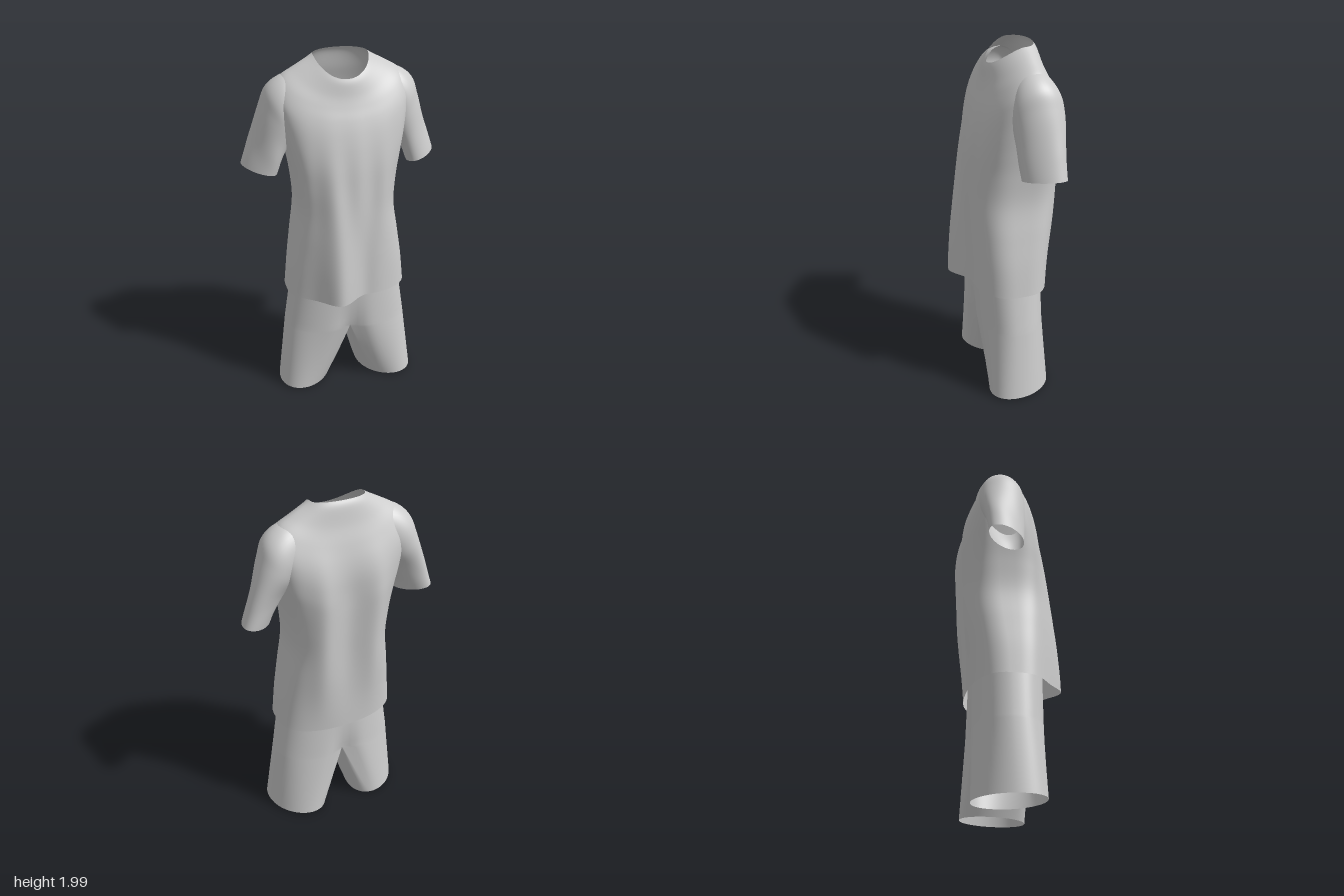
import * as THREE from 'three';
import { mergeGeometries, mergeVertices } from 'three/addons/utils/BufferGeometryUtils.js';

const fabric = new THREE.MeshStandardMaterial({ color: 0xcccccc, side: THREE.DoubleSide });
fabric.name = 'light grey fabric';

const bump = (v, centre, width) => Math.exp(-(((v - centre) / width) ** 2));
const step = THREE.MathUtils.smoothstep;
const lerp = THREE.MathUtils.lerp;
const power = (v, e) => Math.sign(v) * Math.abs(v) ** e;

// Smoothly reads a table of section rows at t = 0..1
function sample(rows, t) {
  const f = t * (rows.length - 1);
  const i = Math.min(Math.floor(f), rows.length - 2);
  const u = f - i;
  const row = (k) => rows[THREE.MathUtils.clamp(k, 0, rows.length - 1)];
  return rows[i].map((b, c) => {
    const a = row(i - 1)[c], d = row(i + 1)[c], e = row(i + 2)[c];
    return b + 0.5 * u * (d - a + u * (2 * a - 5 * b + 4 * d - e + u * (3 * (b - d) + e - a)));
  });
}

// Open tube of closed loops; point(t, angle) gives [x, y, z], running from top to bottom
function loft(point, loops, sides, mirror = 1) {
  const pos = [], index = [];
  for (let i = 0; i <= loops; i++) {
    for (let j = 0; j < sides; j++) {
      const [x, y, z] = point(i / loops, (j / sides) * Math.PI * 2);
      pos.push(x * mirror, y, z);
      if (i === loops) continue;
      const a = i * sides + j, b = i * sides + ((j + 1) % sides);
      const c = a + sides, d = b + sides;
      if (mirror > 0) index.push(a, b, c, b, d, c);
      else index.push(a, c, b, b, c, d);
    }
  }
  const g = new THREE.BufferGeometry();
  g.setAttribute('position', new THREE.Float32BufferAttribute(pos, 3));
  g.setIndex(index);
  return g;
}

function cloth(name, geometries) {
  const g = mergeVertices(mergeGeometries(geometries), 1e-4);
  g.computeVertexNormals();
  const mesh = new THREE.Mesh(g, fabric);
  mesh.name = name;
  return mesh;
}

// Shirt body rows: half width, front z, back z, side z, then y at side, front, back
const bodyRows = [
  [0.147, 0.073, -0.165, -0.085, 1.987, 1.89, 1.994],
  [0.175, 0.085, -0.182, -0.085, 1.97, 1.862, 1.96],
  [0.25, 0.1, -0.202, -0.085, 1.93, 1.8, 1.87],
  [0.322, 0.119, -0.23, -0.085, 1.885, 1.745, 1.78],
  [0.358, 0.143, -0.255, -0.09, 1.82, 1.685, 1.69],
  [0.355, 0.165, -0.268, -0.085, 1.74, 1.615, 1.61],
  [0.335, 0.185, -0.272, -0.07, 1.61, 1.53, 1.52],
  [0.31, 0.2, -0.272, -0.05, 1.48, 1.43, 1.43],
  [0.287, 0.208, -0.268, -0.04, 1.34, 1.31, 1.31],
  [0.276, 0.212, -0.262, -0.03, 1.17, 1.17, 1.17],
  [0.302, 0.213, -0.252, -0.02, 0.99, 0.99, 0.99],
  [0.328, 0.213, -0.24, -0.01, 0.82, 0.82, 0.82],
  [0.347, 0.213, -0.228, -0.01, 0.65, 0.655, 0.635],
];

function bodyPoint(t, angle) {
  const [w, zf, zb, zs, ys, yf, yb] = sample(bodyRows, t);
  const c = Math.cos(angle), s = -Math.sin(angle);
  const x = w * power(c, 0.95);
  const front = s > 0;
  // Round at the collar, squarer over the back and waist, rounder again at the hem
  const square = step(t, 0.1, 0.55);
  const hem = step(t, 0.75, 1);
  const reach = Math.abs(s) ** (front ? 0.9 - 0.28 * square + 0.1 * hem : 0.85 - 0.35 * square + 0.15 * hem);
  const y = ys + ((front ? yf : yb) - ys) * Math.abs(s) ** 1.4;
  let z = zs + ((front ? zf : zb) - zs) * reach;
  // Hanging folds
  if (front) {
    const low = 1 - step(y, 0.65, 1.6);
    z += reach * low * (0.084 * bump(x, -0.09, 0.1) - 0.014 * bump(x, 0.07, 0.06));
    z += reach * 0.006 * Math.sin(x * 42) * bump(y, 1.3, 0.25);
  } else {
    const fall = step(y, 0.6, 1.2) * (1 - step(y, 1.45, 1.85));
    z -= reach * fall * (0.028 * bump(Math.abs(x), 0.16, 0.07) - 0.024 * bump(x, 0, 0.08));
  }
  return [x, y, z];
}

// Sleeve rows: centre x, y, z, radius across, radius in depth, tilt in radians, backward twist
const sleeveRows = [
  [0.22, 1.77, -0.085, 0.142, 0.1, 1.45, 0],
  [0.283, 1.755, -0.085, 0.138, 0.12, 1.25, 0],
  [0.325, 1.715, -0.085, 0.135, 0.13, 1.0, 0.01],
  [0.352, 1.65, -0.085, 0.12, 0.127, 0.8, 0.025],
  [0.392, 1.555, -0.082, 0.1, 0.11, 0.55, 0.04],
  [0.428, 1.465, -0.08, 0.092, 0.098, 0.36, 0.048],
  [0.458, 1.383, -0.08, 0.092, 0.09, 0.19, 0.05],
];

function sleevePoint(t, angle) {
  const [x, y, z, r, d, tilt, twist] = sample(sleeveRows, t);
  const c = Math.cos(angle), s = -Math.sin(angle);
  const crease = 1 + 0.025 * Math.sin(angle * 3 + t * 9) * step(t, 0.4, 0.7) * (1 - step(t, 0.75, 1));
  const across = r * c * crease;
  return [x + across * Math.cos(tilt), y + across * Math.sin(tilt), z + d * s * crease - twist * c];
}

// Shorts hip section, widening from the hidden waist to the fork, with a soft centre crease
const waistY = 0.95, forkY = 0.42;
function hipPoint(t, angle) {
  const c = Math.cos(angle), s = -Math.sin(angle);
  const x = (0.28 + 0.08 * t) * power(c, 0.85);
  const depth = s > 0 ? 0.19 - 0.005 * t : 0.2 + 0.012 * t;
  const crease = 0.04 * t ** 3 * bump(x, 0, 0.07);
  return [x, lerp(waistY, forkY, t), (depth - crease) * power(s, 0.85)];
}

// Leg: two thirds of the loop follow the half hip, the rest the crotch seam, easing into a round cuff
function legPoint(t, angle) {
  const turn = angle > Math.PI ? angle - Math.PI * 2 : angle;
  const inner = Math.max(0, (Math.abs(turn) * 3) / Math.PI - 2);
  const c = Math.cos(angle), s = -Math.sin(angle);
  const cuff = [0.25 + 0.16 * c, 0.008 + 0.006 * c, -0.03 + 0.18 * power(s, 0.95) + 0.045 * c];
  let top;
  if (inner < 1e-6) {
    top = hipPoint(1, turn * 0.75);
  } else {
    const seam = hipPoint(1, (Math.sign(turn) * Math.PI) / 2);
    const bend = (inner * Math.PI) / 2;
    top = [0, forkY - 0.045 * Math.sin(bend), seam[2] * Math.cos(bend)];
  }
  return [
    lerp(top[0], cuff[0], t ** (1 + 0.4 * inner)),
    lerp(top[1], cuff[1], t),
    lerp(top[2], cuff[2], t),
  ];
}

export function createModel() {
  const model = new THREE.Group();
  model.name = 'shirtAndShorts';

  const shirt = new THREE.Group();
  shirt.name = 'shirt';
  shirt.add(cloth('shirtBody', [loft(bodyPoint, 72, 120)]));
  for (const side of [1, -1]) {
    shirt.add(cloth(side > 0 ? 'leftSleeve' : 'rightSleeve', [loft(sleevePoint, 36, 48, side)]));
  }

  const shorts = cloth('shorts', [
    loft(hipPoint, 14, 80),
    loft(legPoint, 24, 60),
    loft(legPoint, 24, 60, -1),
  ]);

  model.add(shirt, shorts);
  return model;
}
